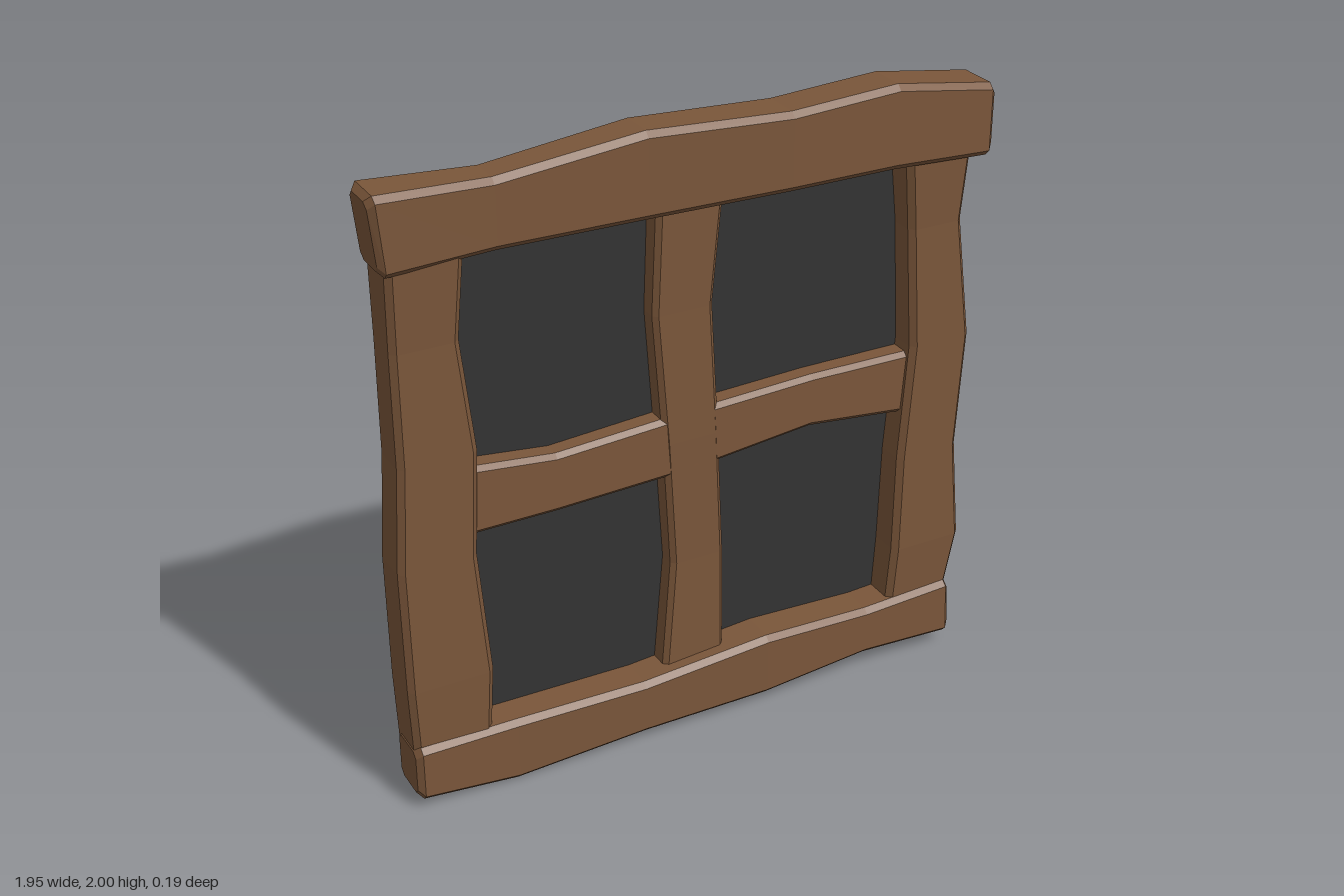
import * as THREE from 'three';

const wood = new THREE.MeshStandardMaterial({ color: 0x7a563a, flatShading: true });
const dark = new THREE.MeshStandardMaterial({ color: 0x333333 });

// Chamfered crooked plank. Each row: [position along, low edge, high edge, back z, front z, end slant]
function plank(name, vertical, rows, bevel = 0.015) {
  const first = rows[0], last = rows[rows.length - 1];
  const shrink = (r, d) => [r[0] + d, r[1] + bevel, r[2] - bevel, r[3] + bevel, r[4] - bevel, r[5]];
  const step = (r, d) => [r[0] + d, ...r.slice(1)];
  const stations = [shrink(first, 0), step(first, bevel), ...rows.slice(1, -1), step(last, -bevel), shrink(last, 0)];

  const position = [];
  for (const [t, lo, hi, back, front, slant = 0] of stations) {
    const c = bevel;
    const ring = [
      [lo + c, back], [hi - c, back], [hi, back + c], [hi, front - c],
      [hi - c, front], [lo + c, front], [lo, front - c], [lo, back + c],
    ];
    for (const [w, z] of ring) {
      const along = t + slant * (hi - w) / (hi - lo);
      position.push(...(vertical ? [w, along, z] : [along, w, z]));
    }
  }

  const index = [];
  const tri = (a, b, c) => index.push(...(vertical ? [a, c, b] : [a, b, c]));
  for (let k = 0; k < stations.length - 1; k++) {
    for (let i = 0; i < 8; i++) {
      const a = k * 8 + i, b = k * 8 + (i + 1) % 8;
      tri(a, b, b + 8);
      tri(a, b + 8, a + 8);
    }
  }
  // End caps
  const end = (stations.length - 1) * 8;
  for (let i = 1; i < 7; i++) {
    tri(0, i + 1, i);
    tri(end, end + i, end + i + 1);
  }

  const indexed = new THREE.BufferGeometry();
  indexed.setAttribute('position', new THREE.Float32BufferAttribute(position, 3));
  indexed.setIndex(index);
  const geometry = indexed.toNonIndexed();
  geometry.computeVertexNormals();
  const mesh = new THREE.Mesh(geometry, wood);
  mesh.name = name;
  return mesh;
}

export function createModel() {
  const group = new THREE.Group();
  group.name = 'window';

  // Outer frame
  group.add(plank('topRail', false, [
    [-0.98, 1.735, 1.97, -0.07, 0.085, 0.02],
    [-0.62, 1.74, 1.95, -0.065, 0.065],
    [-0.17, 1.74, 2.0, -0.07, 0.075],
    [0.28, 1.74, 1.98, -0.065, 0.09],
    [0.63, 1.74, 2.0, -0.065, 0.09],
    [0.97, 1.725, 1.95, -0.07, 0.09],
  ], 0.018));
  group.add(plank('bottomRail', false, [
    [-0.955, 0.04, 0.225, -0.08, 0.085],
    [-0.63, 0.005, 0.22, -0.075, 0.08],
    [-0.2, 0.03, 0.215, -0.075, 0.085],
    [0.23, 0.035, 0.25, -0.07, 0.09],
    [0.6, 0.065, 0.235, -0.075, 0.085],
    [0.92, 0.05, 0.25, -0.08, 0.085, 0.01],
  ], 0.018));
  group.add(plank('rightStile', true, [
    [0.14, -0.95, -0.705, -0.088, 0.065],
    [0.42, -0.96, -0.69, -0.085, 0.07],
    [0.82, -0.962, -0.72, -0.085, 0.065],
    [1.15, -0.94, -0.70, -0.085, 0.06],
    [1.5, -0.938, -0.735, -0.085, 0.055],
    [1.81, -0.938, -0.71, -0.09, 0.065],
  ], 0.018));
  group.add(plank('leftStile', true, [
    [0.14, 0.685, 0.905, -0.083, 0.065],
    [0.42, 0.70, 0.952, -0.08, 0.072],
    [0.75, 0.708, 0.925, -0.085, 0.065],
    [1.13, 0.737, 0.95, -0.085, 0.06],
    [1.52, 0.715, 0.902, -0.08, 0.052],
    [1.81, 0.685, 0.918, -0.085, 0.065],
  ], 0.018));

  // Crossing glazing bars
  group.add(plank('verticalBar', true, [
    [0.16, -0.115, 0.10, -0.095, 0.035],
    [0.58, -0.08, 0.10, -0.092, 0.03],
    [1.0, -0.105, 0.08, -0.097, 0.035],
    [1.42, -0.135, 0.06, -0.092, 0.03],
    [1.82, -0.12, 0.095, -0.095, 0.035],
  ]));
  group.add(plank('horizontalBar', false, [
    [-0.82, 0.87, 1.1, -0.095, 0.035],
    [-0.45, 0.87, 1.06, -0.092, 0.03],
    [0.0, 0.89, 1.09, -0.096, 0.034],
    [0.4, 0.93, 1.105, -0.09, 0.03],
    [0.82, 0.89, 1.105, -0.097, 0.035],
  ]));

  // Dark pane behind the bars
  const pane = new THREE.Mesh(new THREE.BoxGeometry(1.6, 1.66, 0.012), dark);
  pane.name = 'pane';
  pane.position.set(0, 0.98, -0.04);
  group.add(pane);

  return group;
}
